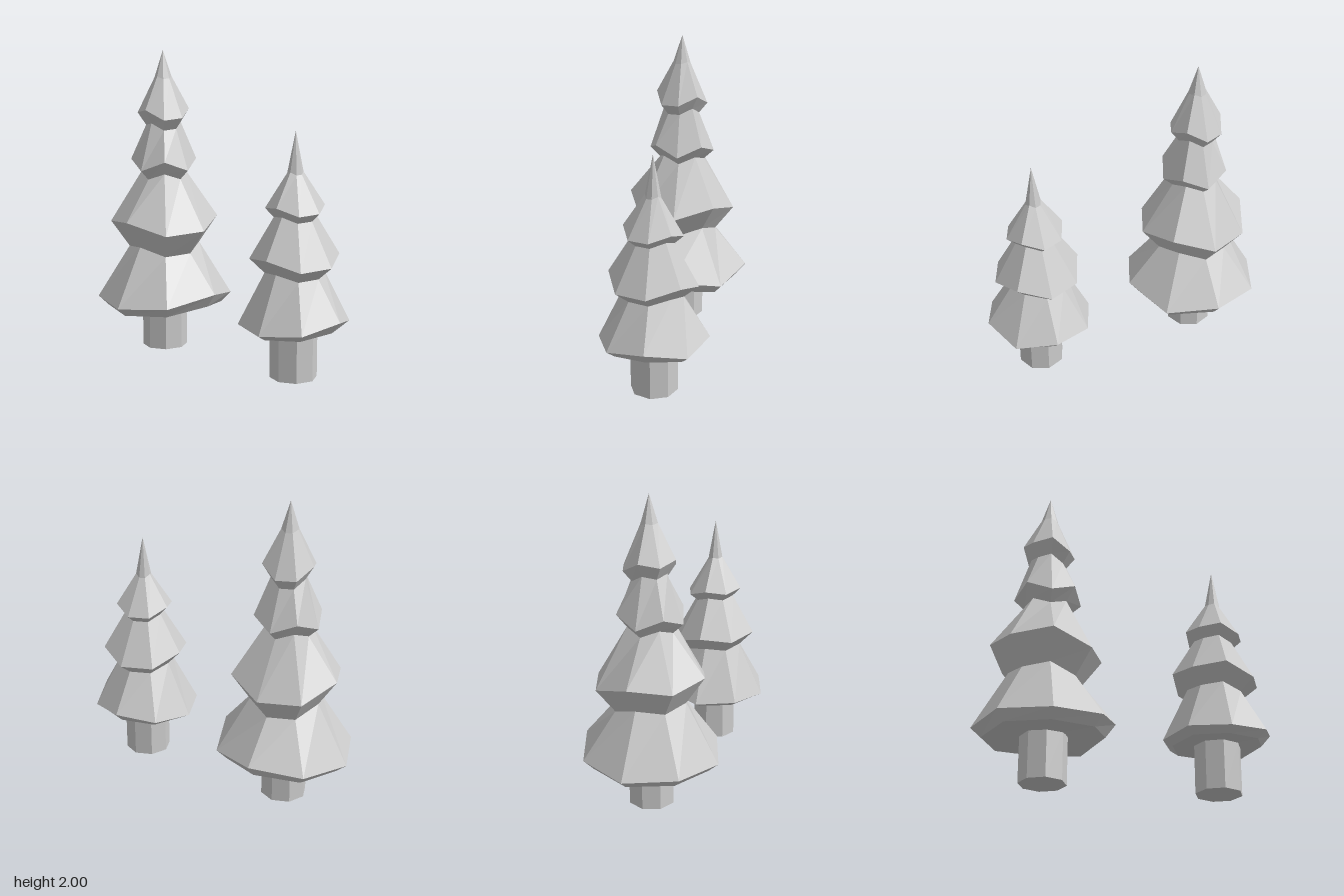
import * as THREE from 'three';

const SIDES = 8;
const material = new THREE.MeshStandardMaterial({ color: 0xcccccc, flatShading: true });

// Height waves around a ring, starting at the front (+z) and turning towards +x
const FLAT = [0, 0, 0, 0, 0, 0, 0, 0];
const UNEVEN = [-0.5, 1, -0.9, -0.9, 1, 0.3, 1, -0.8];
const ZIGZAG = [-1, 1, -1, 1, -1, 1, -1, 1];
const RIM = [1, -0.2, 0.6, -0.2, -0.7, -0.4, -0.7, -0.2];

// Skin of eight-sided rings, each [radius, height, wave, wave size], listed upwards
function ringSkin(rings) {
  const positions = [];
  const index = [];
  for (const [radius, height, wave, size] of rings) {
    for (let i = 0; i < SIDES; i++) {
      const a = (i / SIDES) * Math.PI * 2;
      positions.push(radius * Math.sin(a), height + wave[i] * size, radius * Math.cos(a));
    }
  }
  for (let j = 0; j < rings.length - 1; j++) {
    for (let i = 0; i < SIDES; i++) {
      const a = j * SIDES + i;
      const b = j * SIDES + ((i + 1) % SIDES);
      if (rings[j][0] > 0) index.push(a, b, b + SIDES);
      if (rings[j + 1][0] > 0) index.push(a, b + SIDES, a + SIDES);
      else if (rings[j][0] === 0) index.push(a, b + SIDES, a + SIDES);
    }
  }
  const geometry = new THREE.BufferGeometry();
  geometry.setAttribute('position', new THREE.Float32BufferAttribute(positions, 3));
  geometry.setIndex(index);
  const flat = geometry.toNonIndexed();
  flat.computeVertexNormals();
  return flat;
}

function makeTree(name, z, rings) {
  const tree = new THREE.Group();
  tree.name = name;
  tree.position.z = z;

  const foliage = new THREE.Mesh(ringSkin(rings), material);
  foliage.name = 'foliage';

  const trunk = new THREE.Mesh(new THREE.CylinderGeometry(0.15, 0.15, 0.31, SIDES), material);
  trunk.name = 'trunk';
  trunk.position.y = 0.155;

  tree.add(foliage, trunk);
  return tree;
}

export function createModel() {
  const model = new THREE.Group();
  model.name = 'firTrees';

  model.add(makeTree('tallTree', -0.5, [
    // underside and rim
    [0, 0.31, FLAT, 0],
    [0.385, 0.295, RIM, 0.03],
    [0.45, 0.365, RIM, 0.05],
    // pinch below each tier, then the tier's edge
    [0.235, 0.68, UNEVEN, 0.03],
    [0.357, 0.85, UNEVEN, 0.042],
    [0.15, 1.175, ZIGZAG, 0.02],
    [0.217, 1.25, ZIGZAG, 0.032],
    [0.115, 1.5, UNEVEN, 0.025],
    [0.17, 1.58, UNEVEN, 0.036],
    // slender tip
    [0.056, 1.82, UNEVEN, 0.008],
    [0, 2, FLAT, 0],
  ]));

  model.add(makeTree('shortTree', 0.6, [
    // underside and rim
    [0, 0.32, FLAT, 0],
    [0.29, 0.315, RIM, 0.02],
    [0.35, 0.365, RIM, 0.043],
    // pinch below each tier, then the tier's edge
    [0.185, 0.665, UNEVEN, 0.02],
    [0.28, 0.753, UNEVEN, 0.034],
    [0.13, 1.015, UNEVEN, 0.018],
    [0.185, 1.07, UNEVEN, 0.025],
    // slender tip
    [0.05, 1.29, UNEVEN, 0.01],
    [0, 1.55, FLAT, 0],
  ]));

  return model;
}
